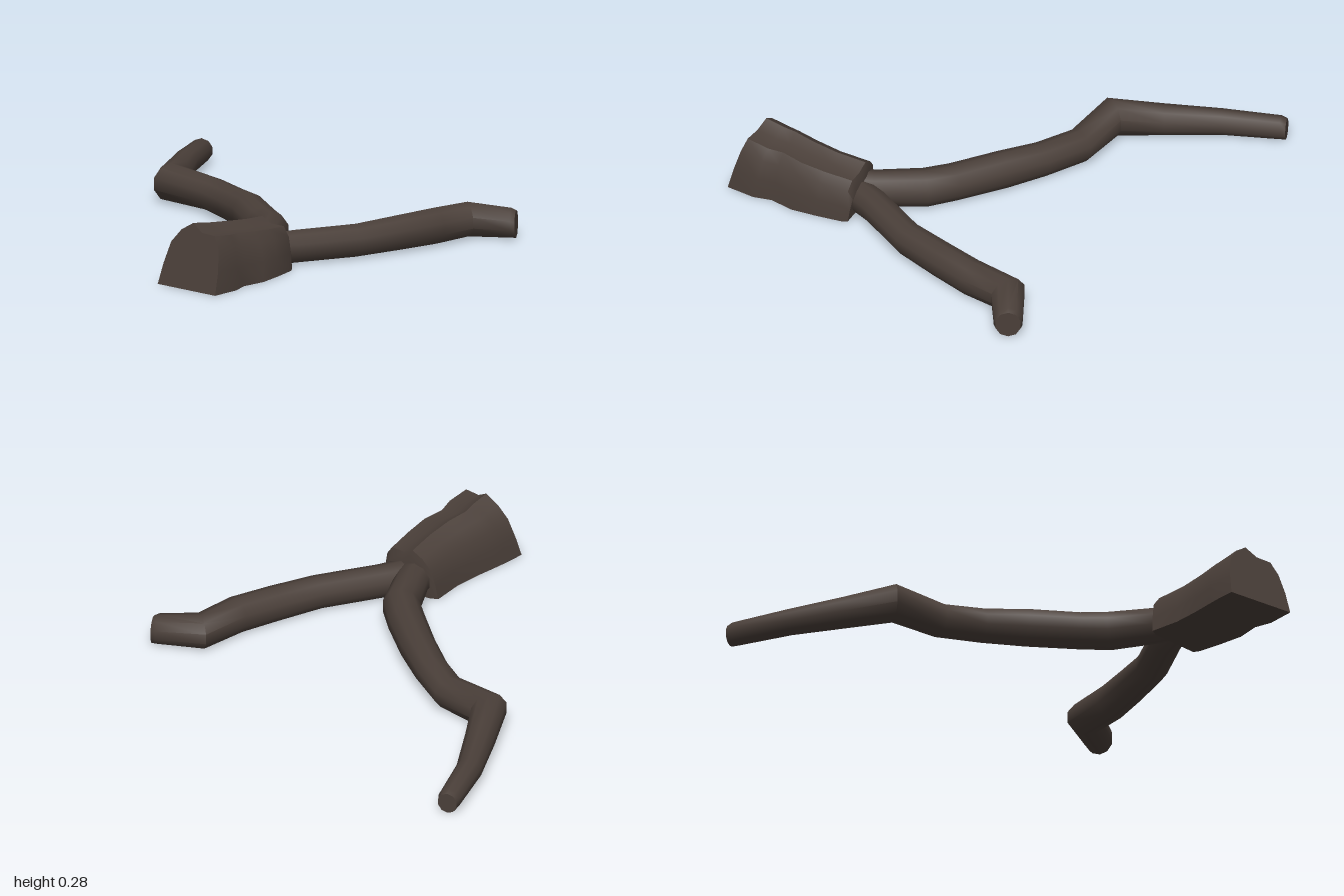
import * as THREE from 'three';
import { toCreasedNormals } from 'three/addons/utils/BufferGeometryUtils.js';

// Skin a list of closed rings (each an array of Vector3) and cap both ends
function skin(rings) {
  const n = rings[0].length;
  const pos = rings.flat().flatMap((p) => [p.x, p.y, p.z]);
  const index = [];
  for (let i = 0; i < rings.length - 1; i++) {
    for (let j = 0; j < n; j++) {
      const a = i * n + j, b = i * n + ((j + 1) % n);
      index.push(a, b, b + n, a, b + n, a + n);
    }
  }
  [0, rings.length - 1].forEach((r) => {
    const c = new THREE.Vector3();
    rings[r].forEach((p) => c.addScaledVector(p, 1 / n));
    const k = pos.length / 3;
    pos.push(c.x, c.y, c.z);
    for (let j = 0; j < n; j++) {
      const a = r * n + j, b = r * n + ((j + 1) % n);
      if (r === 0) index.push(k, b, a);
      else index.push(k, a, b);
    }
  });
  const geo = new THREE.BufferGeometry();
  geo.setAttribute('position', new THREE.Float32BufferAttribute(pos, 3));
  geo.setIndex(index);
  return toCreasedNormals(geo, 0.85);
}

// Tapering limb lying on the ground; stations are [x, z, half width, height]
function limb(stations, sides = 10) {
  const at = (i) => new THREE.Vector3(stations[i][0], 0, stations[i][1]);
  const last = stations.length - 1;
  const rings = stations.map(([x, z, r, h], i) => {
    const din = at(Math.max(i, 1)).sub(at(Math.max(i, 1) - 1)).normalize();
    const k = Math.min(i, last - 1);
    const dout = at(k + 1).sub(at(k)).normalize();
    const d = din.clone().add(dout).normalize();
    const w = r / Math.max(0.7, d.dot(dout)); // widen at mitred bends
    const ring = [];
    for (let j = 0; j < sides; j++) {
      const a = ((j + 0.5) / sides) * Math.PI * 2;
      const c = Math.cos(a) * w;
      ring.push(new THREE.Vector3(x + d.z * c, h / 2 + (Math.sin(a) * h) / 2 / Math.cos(Math.PI / sides / 2), z - d.x * c));
    }
    ring.forEach((p) => { p.y = Math.max(0, p.y); });
    return ring;
  });
  return skin(rings);
}

// Broken trunk: arched section, stations are [leftX, leftZ, rightX, rightZ, height, lean]
function trunk(stations) {
  const arch = [[1, 0], [0.93, 0.35], [0.78, 0.68], [0.56, 0.87], [0.1, 0.88], [-0.25, 1],
    [-0.6, 0.87], [-0.86, 0.66], [-0.96, 0.32], [-1, 0]];
  return skin(stations.map(([lx, lz, rx, rz, h, lean]) => arch.map(([u, v]) => {
    const t = (u + 1) / 2;
    return new THREE.Vector3(lx + (rx - lx) * t, h * v, lz + (rz - lz) * t - lean * v);
  })));
}

export function createModel() {
  const group = new THREE.Group();
  const bark = new THREE.MeshStandardMaterial({ color: 0x4a3f39 });
  bark.name = 'darkBark';

  const add = (name, geo) => {
    const mesh = new THREE.Mesh(geo, bark);
    mesh.name = name;
    group.add(mesh);
  };

  // Thick end with a slanted break at the front
  add('trunk', trunk([
    [0.59, 0.34, 0.81, 0.26, 0.15, 0.02],
    [0.56, 0.37, 0.83, 0.28, 0.21, 0.03],
    [0.61, 0.5, 0.88, 0.39, 0.225, 0.03],
    [0.635, 0.62, 0.92, 0.49, 0.24, 0.03],
    [0.65, 0.72, 0.93, 0.6, 0.25, 0.04],
    [0.66, 0.78, 0.97, 0.67, 0.26, 0.05],
    [0.68, 0.87, 0.995, 0.8, 0.275, 0.075],
  ]));

  // Long crooked branch
  add('longBranch', limb([
    [0.7, 0.38, 0.08, 0.15],
    [0.63, 0.28, 0.075, 0.155],
    [0.48, 0.13, 0.08, 0.165],
    [0.36, 0.08, 0.082, 0.157],
    [0.15, 0.0, 0.078, 0.163],
    [-0.03, -0.05, 0.074, 0.147],
    [-0.22, -0.085, 0.074, 0.143],
    [-0.46, -0.04, 0.073, 0.166],
    [-0.62, -0.19, 0.066, 0.135],
    [-0.795, -0.36, 0.056, 0.112],
    [-0.95, -0.56, 0.05, 0.102],
    [-0.965, -0.58, 0.043, 0.092],
  ]));

  // Shorter branch with a kinked tip
  add('shortBranch', limb([
    [0.7, 0.36, 0.07, 0.14],
    [0.72, 0.185, 0.071, 0.142],
    [0.79, -0.09, 0.072, 0.143],
    [0.802, -0.3, 0.075, 0.152],
    [0.807, -0.49, 0.075, 0.158],
    [0.78, -0.685, 0.074, 0.15],
    [0.91, -0.82, 0.064, 0.13],
    [0.925, -0.835, 0.056, 0.12],
  ]));

  return group;
}
